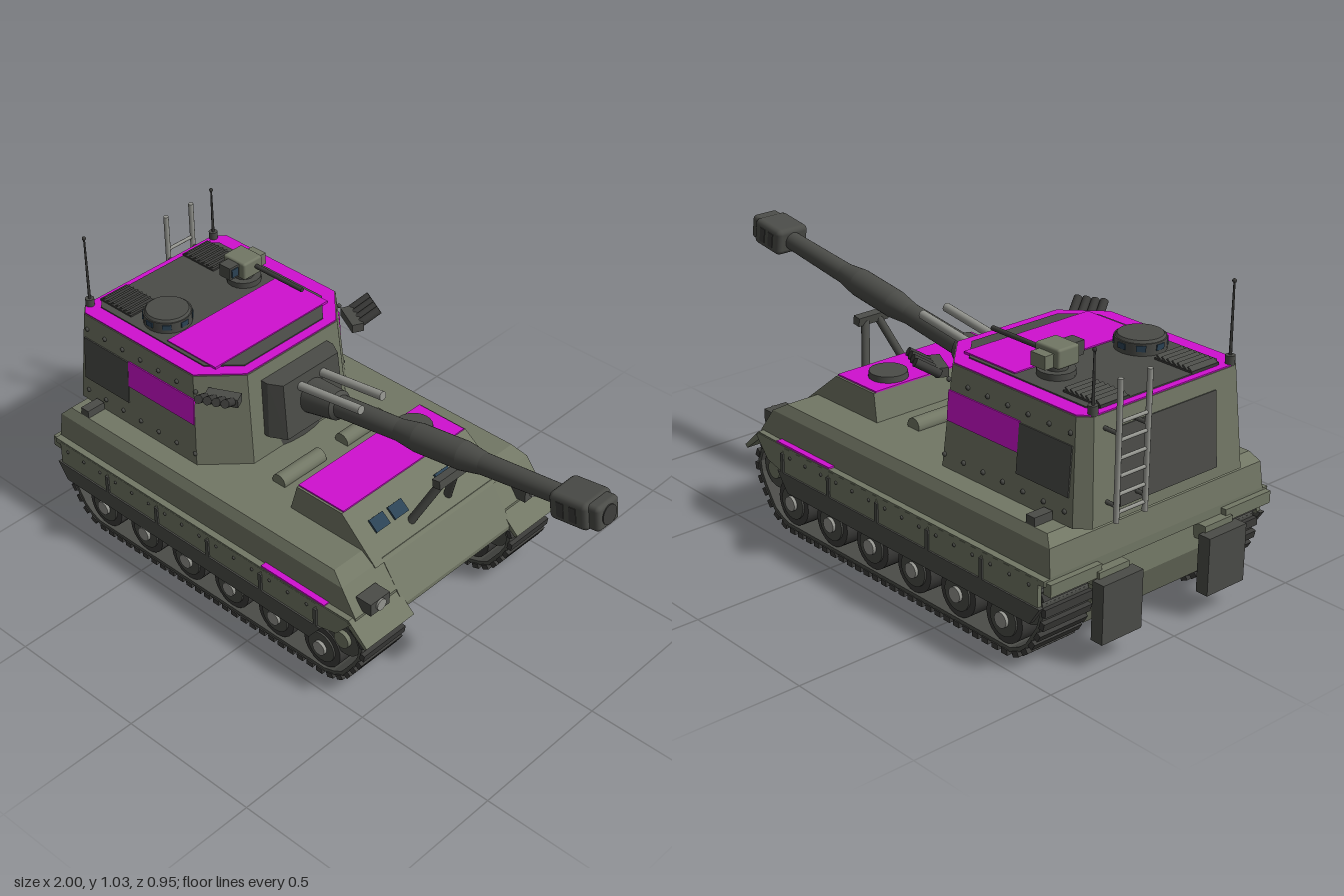
import * as THREE from 'three';
import { mergeGeometries } from 'three/addons/utils/BufferGeometryUtils.js';
import { ConvexGeometry } from 'three/addons/geometries/ConvexGeometry.js';
import { RoundedBoxGeometry } from 'three/addons/geometries/RoundedBoxGeometry.js';

const mat = (name, color) => Object.assign(new THREE.MeshStandardMaterial({ color }), { name });
const V = (x, y, z) => new THREE.Vector3(x, y, z);

export function createModel() {
  const olive = mat('olive paint', 0x727765);
  const dark = mat('dark grey', 0x4b4c48);
  const track = mat('track rubber', 0x3b3b39);
  const magenta = mat('magenta marking', 0xd010d0);
  const steel = mat('light steel', 0x94958f);
  const glass = mat('blue glass', 0x2b4254);
  const model = new THREE.Group();
  model.name = 'selfPropelledGun';

  const group = (name, parent = model) => {
    const g = new THREE.Group();
    g.name = name;
    parent.add(g);
    return g;
  };
  const add = (parent, name, geo, material, pos = [0, 0, 0], rot = [0, 0, 0]) => {
    const m = new THREE.Mesh(geo, material);
    m.name = name;
    m.position.set(...pos);
    m.rotation.set(...rot);
    parent.add(m);
    return m;
  };
  const box = (parent, name, size, pos, material, rot) =>
    add(parent, name, new THREE.BoxGeometry(...size), material, pos, rot);
  // Round bar between two points
  const rod = (parent, name, a, b, r, material, r2 = r, sides = 16) => {
    const from = V(...a), d = V(...b).sub(from);
    const m = add(parent, name, new THREE.CylinderGeometry(r2, r, d.length(), sides), material);
    m.position.copy(from).addScaledVector(d, 0.5);
    m.quaternion.setFromUnitVectors(V(0, 1, 0), d.normalize());
    return m;
  };
  // Solid through footprints [[x, z], ...] at given heights
  const solid = (parent, name, levels, material) => add(parent, name, new ConvexGeometry(
    levels.flatMap(([y, fp]) => fp.map(([x, z]) => V(x, y, z)))), material);
  // Footprint with rear and front corners cut
  const plan = (x0, x1, w, rear = 0, front = 0) => [1, -1].flatMap(s => [
    [x0, s * (w - rear)], [x0 + rear, s * w], [x1 - front, s * w], [x1, s * (w - front)]]);
  const profile = (pts, z0, z1) => {
    const g = new THREE.ExtrudeGeometry(new THREE.Shape(pts.map(p => new THREE.Vector2(...p))),
      { depth: z1 - z0, bevelEnabled: false });
    return g.translate(0, 0, z0);
  };

  // Hull
  const hull = group('hull');
  add(hull, 'lowerHull', profile([[-0.88, 0.09], [0.29, 0.09], [0.45, 0.26], [0.45, 0.275],
    [0.36, 0.41], [-0.9, 0.41], [-0.92, 0.2]], -0.26, 0.26), olive);
  solid(hull, 'upperHull', [[0.29, plan(-0.93, 0.42, 0.445)], [0.32, plan(-0.93, 0.42, 0.445)],
    [0.405, plan(-0.92, 0.36, 0.44)], [0.435, plan(-0.89, 0.31, 0.42)]], olive);
  solid(hull, 'frontCasemate', [[0.4, plan(0, 0.37, 0.3)], [0.525, plan(0.03, 0.22, 0.29)]], olive);
  box(hull, 'casematePaint', [0.19, 0.006, 0.565], [0.125, 0.527, 0], magenta);
  rod(hull, 'driverHatch', [0.105, 0.525, -0.17], [0.105, 0.55, -0.17], 0.065, dark, 0.062, 24);
  rod(hull, 'bellyHatch', [-0.75, 0.08, 0.13], [-0.75, 0.092, 0.13], 0.05, dark);
  rod(hull, 'turretRing', [-0.55, 0.42, 0], [-0.55, 0.46, 0], 0.33, dark, 0.33, 40);
  for (const z of [-0.195, -0.11, 0.11, 0.195])
    box(hull, 'visionBlock', [0.012, 0.046, 0.062], [0.287, 0.471, z], glass, [0, 0, 0.876]);

  for (const s of [1, -1]) {
    const side = group(s > 0 ? 'leftHullSide' : 'rightHullSide', hull);
    const zs = (a, b) => (s > 0 ? [a, b] : [-b, -a]);
    add(side, 'frontFender', profile([[0.3, 0.3], [0.3, 0.318], [0.41, 0.32], [0.485, 0.25],
      [0.475, 0.24], [0.4, 0.3]], ...zs(0.25, 0.465)), olive);
    box(side, 'fenderLedge', [1.34, 0.018, 0.05], [-0.26, 0.307, s * 0.443], olive);
    box(side, 'fenderPaint', [0.27, 0.006, 0.022], [0.175, 0.319, s * 0.455], magenta);
    // Skirt panels with hinges and bolts
    for (let i = 0; i < 5; i++) {
      const x = -0.79 + i * 0.237;
      box(side, 'skirtPanel', [0.233, 0.09, 0.015], [x, 0.265, s * 0.461], olive);
      box(side, 'skirtHinge', [0.014, 0.07, 0.012], [x + 0.118, 0.255, s * 0.468], dark);
      for (const dx of [-0.08, 0, 0.08])
        add(side, 'skirtBolt', new THREE.SphereGeometry(0.006, 8, 6), dark, [x + dx, 0.285, s * 0.468]);
    }
    add(side, 'skirtFront', profile([[0.277, 0.22], [0.36, 0.24], [0.42, 0.31], [0.277, 0.31]],
      ...zs(0.453, 0.468)), olive);
    add(side, 'skirtLower', profile([[-0.88, 0.165], [0.25, 0.16], [0.3, 0.225], [-0.92, 0.225]],
      ...zs(0.456, 0.474)), dark);
    // Lights, mudflaps and tie-downs
    box(side, 'headlightBox', [0.06, 0.045, 0.085], [0.42, 0.348, s * 0.367], dark);
    rod(side, 'headlight', [0.44, 0.35, s * 0.367], [0.457, 0.35, s * 0.367], 0.02, steel);
    box(side, 'headlightPost', [0.03, 0.04, 0.05], [0.41, 0.33, s * 0.367], dark);
    box(side, 'rearLight', [0.035, 0.045, 0.07], [-0.82, 0.44, s * 0.385], dark);
    box(side, 'mudflap', [0.045, 0.19, 0.16], [-0.975, 0.175, s * 0.22], dark);
    box(side, 'mudflapBracket', [0.06, 0.05, 0.12], [-0.93, 0.265, s * 0.22], olive);
    box(side, 'rearStowage', [0.03, 0.04, 0.2], [-0.935, 0.29, s * 0.36], olive);
    rod(side, 'stowedRoll', [-0.1, 0.443, s * 0.05], [-0.1, 0.443, s * 0.24], 0.028, olive);
    rod(side, 'travelLockLeg', [0.32, 0.425, s * 0.09], [0.4, 0.6, s * 0.025], 0.014, dark);
  }
  box(hull, 'travelLockCradle', [0.03, 0.03, 0.125], [0.4, 0.602, 0], dark, [0, 0, 0.14]);

  // Running gear
  const loop = [[-0.77, 0.022], [0.3, 0.022], [0.36, 0.05], [0.43, 0.15], [0.44, 0.2], [0.42, 0.25],
    [0.37, 0.27], [-0.84, 0.27], [-0.885, 0.25], [-0.9, 0.2], [-0.885, 0.14], [-0.83, 0.05], [-0.77, 0.022]];
  const path = new THREE.Shape(loop.map(p => new THREE.Vector2(...p))).getSpacedPoints(70);
  const links = [], grousers = [];
  for (let i = 0; i < path.length - 1; i++) {
    const a = path[i], b = path[i + 1], ang = Math.atan2(b.y - a.y, b.x - a.x);
    const place = (g, dy) => g.translate(0, dy, 0).rotateZ(ang).translate((a.x + b.x) / 2, (a.y + b.y) / 2, 0);
    links.push(place(new THREE.BoxGeometry(0.046, 0.014, 0.18), 0));
    grousers.push(place(new THREE.BoxGeometry(0.026, 0.018, 0.188), -0.013));
  }
  const linkGeo = mergeGeometries(links), grouserGeo = mergeGeometries(grousers);
  for (const s of [1, -1]) {
    const gear = group(s > 0 ? 'leftTrack' : 'rightTrack');
    const disc = (name, x, y, r, z0, z1, m) =>
      rod(gear, name, [x, y, s * z0], [x, y, s * z1], r, m, r, 24);
    add(gear, 'trackLinks', linkGeo, dark, [0, 0, s * 0.353]);
    add(gear, 'trackPads', grouserGeo, track, [0, 0, s * 0.353]);
    for (let i = 0; i < 6; i++) {
      const x = -0.735 + i * 0.201;
      disc('roadWheel', x, 0.107, 0.077, 0.28, 0.435, track);
      disc('wheelDisc', x, 0.107, 0.055, 0.43, 0.441, dark);
      disc('wheelHub', x, 0.107, 0.025, 0.43, 0.452, steel);
    }
    for (const x of [0.36, -0.83]) {
      disc('sprocket', x, 0.195, 0.066, 0.28, 0.43, dark);
      disc('sprocketHub', x, 0.195, 0.03, 0.42, 0.445, olive);
    }
  }

  // Turret shell and roof
  const turret = group('turret');
  solid(turret, 'turretShell', [[0.435, plan(-0.955, -0.232, 0.348, 0.04, 0.13)],
    [0.762, plan(-0.93, -0.262, 0.325, 0.035, 0.12)]], olive);
  const plate = (name, y, fp, m) => solid(turret, name, [[0.755, fp], [y, fp]], m);
  plate('roofBorder', 0.766, plan(-0.927, -0.266, 0.322, 0.034, 0.118), magenta);
  plate('roofPanel', 0.77, plan(-0.905, -0.3, 0.268, 0.03, 0.09), dark);
  plate('roofMarking', 0.774, plan(-0.573, -0.353, 0.255), magenta);
  box(turret, 'rearDoor', [0.008, 0.24, 0.4], [-0.943, 0.59, 0], dark, [0, 0, -0.076]);

  for (const s of [1, -1]) {
    const side = group(s > 0 ? 'leftTurretSide' : 'rightTurretSide', turret);
    const wall = y => s * (0.348 - 0.07 * (y - 0.435));
    const tilt = [-s * 0.07, 0, 0];
    box(side, 'sideMarking', [0.305, 0.096, 0.008], [-0.527, 0.632, wall(0.632)], magenta, tilt);
    box(side, 'sideDoor', [0.213, 0.155, 0.009], [-0.786, 0.598, wall(0.598)], dark, tilt);
    for (const y of [0.475, 0.71])
      for (let i = 0; i < 7; i++)
        add(side, 'bolt', new THREE.SphereGeometry(0.008, 8, 6), dark, [-0.88 + i * 0.085, y, wall(y)]);
    // Smoke launchers
    for (let i = 0; i < 4; i++) {
      const x = -0.325 + i * 0.026, z = 0.325 - i * 0.013;
      rod(side, 'smokeTube', [x, 0.712, s * z], [x + 0.035, 0.756, s * (z + 0.066)], 0.014, track);
    }
    box(side, 'smokeBracket', [0.11, 0.03, 0.04], [-0.28, 0.715, s * 0.295], dark, [0, s * 0.46, 0]);
    // Roof grille
    box(side, 'grilleBase', [0.148, 0.008, 0.115], [-0.832, 0.772, s * 0.185], track);
    for (let i = 0; i < 7; i++)
      box(side, 'grilleSlat', [0.018, 0.005, 0.108], [-0.893 + i * 0.0205, 0.779, s * 0.185], dark, [0, 0, 0.6]);
    // Whip aerial, taller on the left
    const top = s > 0 ? 1.02 : 0.955;
    rod(side, 'aerialBase', [-0.915, 0.762, s * 0.28], [-0.915, 0.792, s * 0.28], 0.015, dark);
    rod(side, 'aerial', [-0.915, 0.79, s * 0.28], [-0.915, top, s * 0.28], 0.005, track, 0.003, 8);
    add(side, 'aerialTip', new THREE.SphereGeometry(0.007, 10, 8), track, [-0.915, top, s * 0.28]);
  }

  // Rear ladder
  const ladder = group('ladder', turret);
  for (const z of [-0.135, -0.25]) {
    rod(ladder, 'ladderRail', [-0.988, 0.45, z], [-0.988, 0.885, z], 0.009, steel, 0.009, 10);
    for (const y of [0.5, 0.72]) rod(ladder, 'ladderMount', [-0.93, y, z], [-0.988, y, z], 0.007, dark, 0.007, 8);
  }
  for (let i = 0; i < 6; i++)
    rod(ladder, 'ladderRung', [-0.988, 0.48 + i * 0.055, -0.25], [-0.988, 0.48 + i * 0.055, -0.135], 0.006, steel, 0.006, 8);

  // Commander cupola
  rod(turret, 'cupola', [-0.66, 0.76, 0.17], [-0.66, 0.808, 0.17], 0.08, dark, 0.08, 28);
  rod(turret, 'cupolaLid', [-0.66, 0.808, 0.17], [-0.66, 0.816, 0.17], 0.076, dark, 0.07, 28);
  for (let i = 0; i < 8; i++) {
    const a = i * Math.PI / 4;
    box(turret, 'cupolaWindow', [0.008, 0.018, 0.03],
      [-0.66 + 0.078 * Math.cos(a), 0.793, 0.17 - 0.078 * Math.sin(a)], glass, [0, a, 0]);
  }

  // Remote weapon station
  const station = group('weaponStation', turret);
  rod(station, 'stationBase', [-0.65, 0.765, -0.165], [-0.65, 0.79, -0.165], 0.058, dark);
  rod(station, 'stationPost', [-0.65, 0.79, -0.165], [-0.65, 0.81, -0.165], 0.035, dark);
  add(station, 'stationBody', new RoundedBoxGeometry(0.1, 0.062, 0.085, 2, 0.008), olive, [-0.65, 0.836, -0.163]);
  box(station, 'sightBox', [0.05, 0.045, 0.042], [-0.65, 0.838, -0.1], dark);
  box(station, 'sightLens', [0.006, 0.03, 0.028], [-0.624, 0.838, -0.1], glass);
  box(station, 'ammoBox', [0.06, 0.042, 0.035], [-0.65, 0.83, -0.222], olive);
  rod(station, 'stationGun', [-0.6, 0.838, -0.176], [-0.39, 0.838, -0.176], 0.008, track);

  // Mantlet, gun and muzzle brake
  solid(turret, 'mantlet', [[0.515, [...plan(-0.26, -0.22, 0.16), ...plan(-0.22, -0.165, 0.13)]],
    [0.715, [...plan(-0.26, -0.23, 0.15), ...plan(-0.23, -0.185, 0.125)]]], dark);
  const gun = group('gun', turret);
  gun.position.set(-0.2, 0.615, 0);
  gun.rotation.z = 0.14;
  const barrel = [[0, 0], [0.062, 0], [0.05, 0.14], [0.038, 0.15], [0.036, 0.4], [0.047, 0.48],
    [0.047, 0.66], [0.035, 0.74], [0.031, 1.06], [0, 1.06]];
  // Each barrel section has its own normals so steps stay sharp
  for (let i = 1; i < barrel.length - 2; i++) {
    const [r0, s0] = barrel[i], [r1, s1] = barrel[i + 1];
    rod(gun, 'barrelSection', [s0, 0, 0], [s1, 0, 0], r0, dark, r1, 28);
  }
  add(gun, 'muzzleBrake', new RoundedBoxGeometry(0.14, 0.092, 0.128, 2, 0.018), dark, [1.1, 0, 0]);
  add(gun, 'muzzleTip', new RoundedBoxGeometry(0.05, 0.084, 0.1, 2, 0.014), dark, [1.178, 0, 0]);
  rod(gun, 'bore', [1.19, 0, 0], [1.206, 0, 0], 0.032, track, 0.032, 24);
  for (const s of [1, -1]) {
    for (const x of [1.075, 1.12])
      box(gun, 'muzzleVent', [0.025, 0.05, 0.008], [x, 0, s * 0.062], track);
    rod(gun, 'recoilTube', [-0.02, 0.06, s * 0.05], [0.29, 0.06, s * 0.05], 0.015, steel);
  }
  return model;
}
